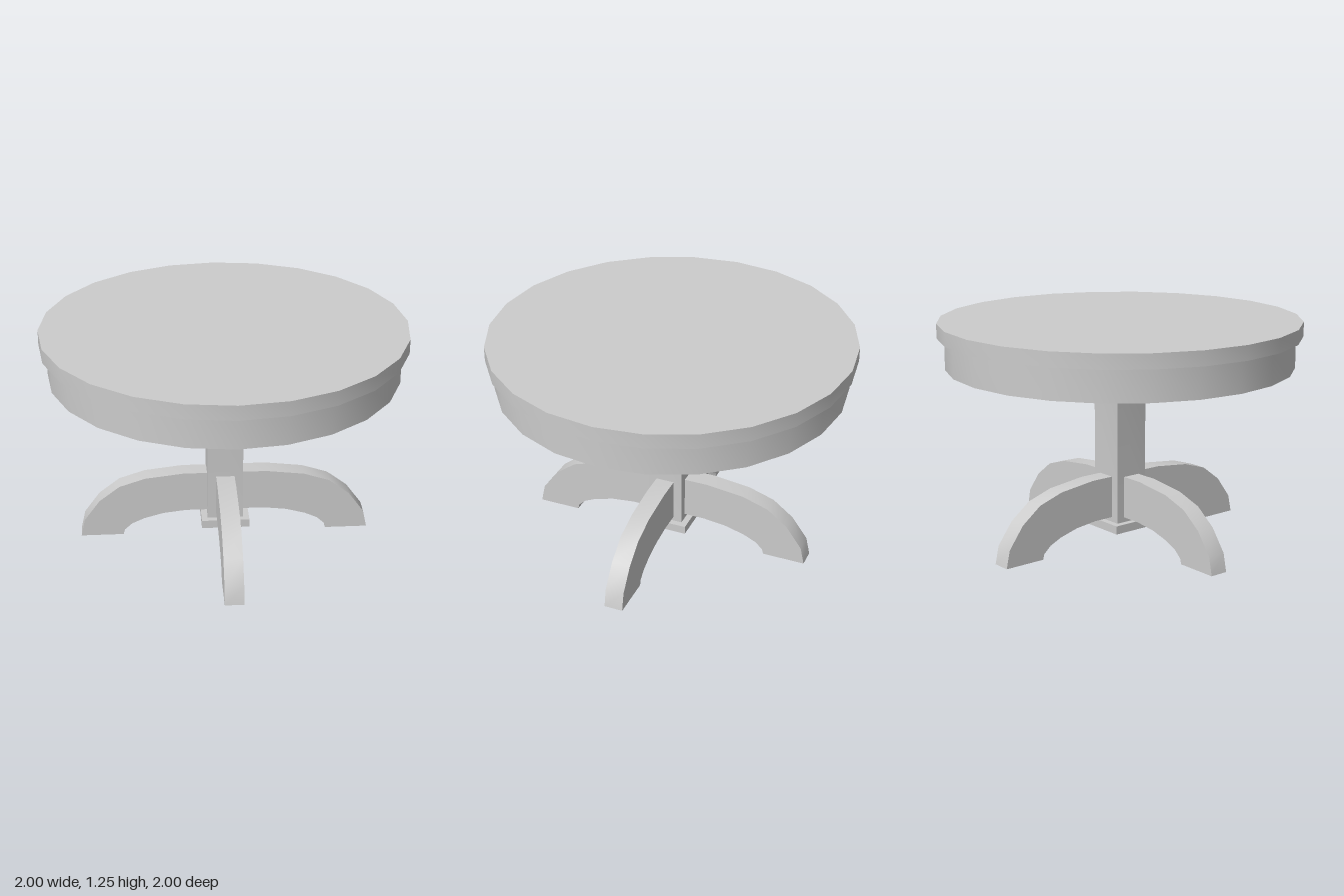
import * as THREE from 'three';
import { toCreasedNormals } from 'three/addons/utils/BufferGeometryUtils.js';

const material = new THREE.MeshStandardMaterial({ color: 0xcccccc });
const openMaterial = new THREE.MeshStandardMaterial({ color: 0xcccccc, side: THREE.DoubleSide });

// Turned shape from a profile listed bottom to top, with sharp edges kept
function turned(name, profile, sides, start = 0) {
  const points = profile.map(([r, y]) => new THREE.Vector2(r, y));
  const geometry = new THREE.LatheGeometry(points, sides, start);
  const mesh = new THREE.Mesh(toCreasedNormals(geometry, 0.55), material);
  mesh.name = name;
  return mesh;
}

// Arched leg along +x: rectangular sections lofted from post to foot, open at the ends
function legGeometry() {
  const upper = [[0.09, 0.38], [0.235, 0.38], [0.45, 0.355], [0.595, 0.308], [0.71, 0.22], [0.798, 0.1], [0.82, 0]];
  const lower = [[0.09, 0.145], [0.22, 0.145], [0.35, 0.13], [0.46, 0.1], [0.53, 0.068], [0.572, 0.03], [0.58, 0]];
  const half = 0.052;
  const positions = [];
  const index = [];
  upper.forEach(([ux, uy], i) => {
    const [lx, ly] = lower[i];
    positions.push(ux, uy, half, ux, uy, -half, lx, ly, -half, lx, ly, half);
    if (i === 0) return;
    for (let k = 0; k < 4; k++) {
      const a = (i - 1) * 4 + k;
      const b = (i - 1) * 4 + (k + 1) % 4;
      index.push(a, a + 4, b, b, a + 4, b + 4);
    }
  });
  const geometry = new THREE.BufferGeometry();
  geometry.setAttribute('position', new THREE.Float32BufferAttribute(positions, 3));
  geometry.setIndex(index);
  return toCreasedNormals(geometry, 0.75);
}

export function createModel() {
  const table = new THREE.Group();
  table.name = 'pedestalTable';

  // Round top
  table.add(turned('tableTop', [[0, 1.17], [1, 1.17], [1, 1.25], [0, 1.25]], 24));

  // Apron with a recessed underside
  table.add(turned('apron', [[0, 1.07], [0.91, 1.07], [0.96, 0.995], [0.96, 1.17]], 24));

  // Square post, flared where it meets the underside
  const d = Math.SQRT2;
  const postProfile = [[0, 0.08], [0.1 * d, 0.08], [0.1 * d, 0.94], [0.107 * d, 1.0], [0.14 * d, 1.07]];
  table.add(turned('post', postProfile, 4, Math.PI / 4));

  // Square plate at the foot of the post
  const plate = new THREE.Mesh(new THREE.BoxGeometry(0.27, 0.047, 0.27), material);
  plate.name = 'basePlate';
  plate.position.y = 0.0935;
  table.add(plate);

  // Four legs around the post
  const geometry = legGeometry();
  ['leftLeg', 'backLeg', 'rightLeg', 'frontLeg'].forEach((name, i) => {
    const leg = new THREE.Mesh(geometry, openMaterial);
    leg.name = name;
    leg.rotation.y = i * Math.PI / 2;
    table.add(leg);
  });

  return table;
}
